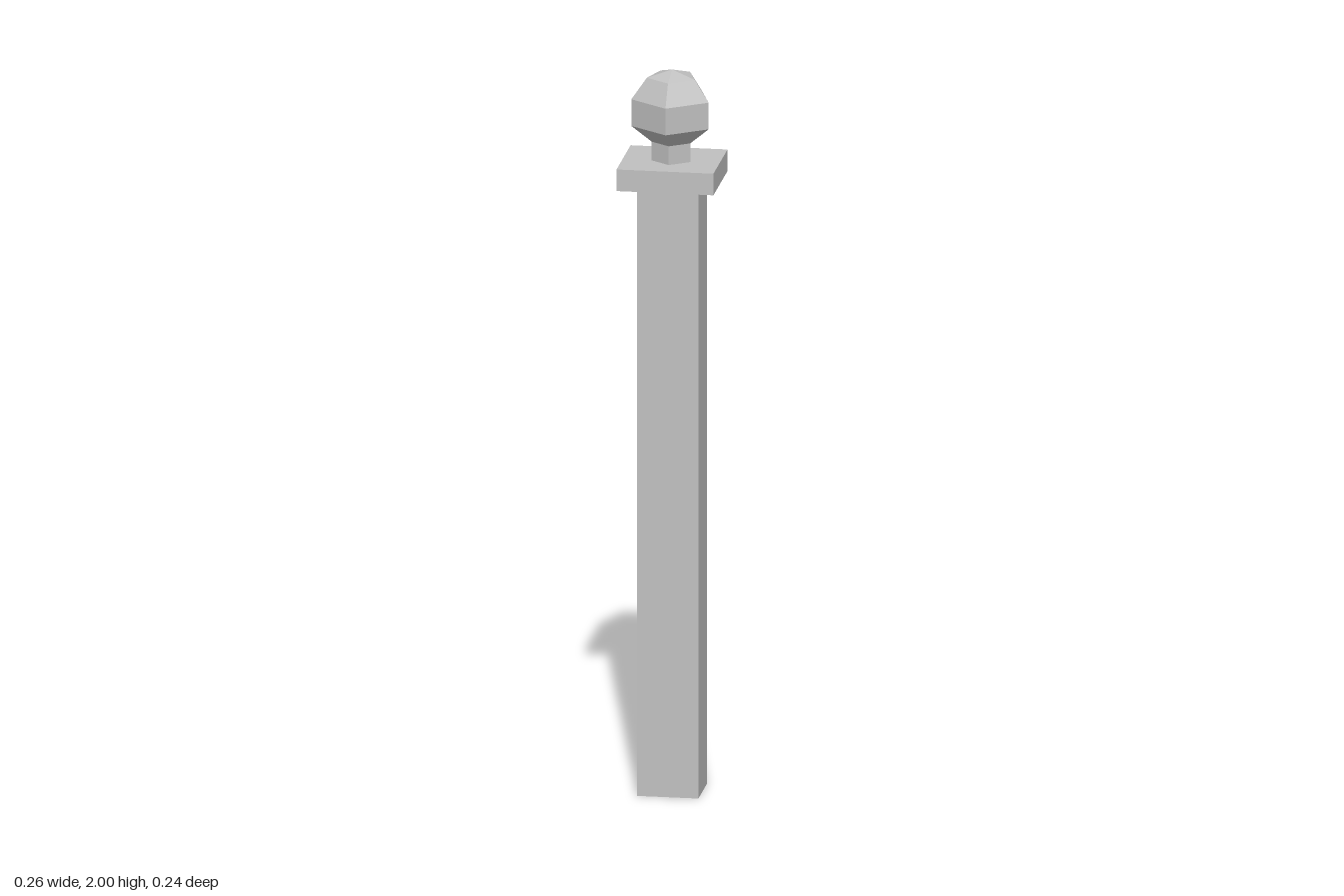
import * as THREE from 'three';

export function createModel() {
  const group = new THREE.Group();
  const stone = new THREE.MeshStandardMaterial({ color: 0xc0c0c0, flatShading: true, side: THREE.DoubleSide });
  stone.name = 'light grey';

  const add = (name, geometry, y) => {
    const mesh = new THREE.Mesh(geometry, stone);
    mesh.name = name;
    mesh.position.y = y;
    group.add(mesh);
  };

  // Hollow rectangular shaft, open at the bottom
  const shaft = new THREE.CylinderGeometry(Math.SQRT1_2, Math.SQRT1_2, 1.69, 4, 1, true);
  shaft.rotateY(Math.PI / 4).scale(0.166, 1, 0.146);
  add('shaft', shaft, 0.845);

  // Flat cap slab
  add('cap', new THREE.BoxGeometry(0.262, 0.06, 0.238), 1.72);

  // Five-sided neck and ball, one corner facing the front
  const profile = [
    [0.055, 0], [0.055, 0.052], [0.11, 0.098], [0.11, 0.172], [0.068, 0.23], [0, 0.25],
  ].map(([r, y]) => new THREE.Vector2(r, y));
  add('finial', new THREE.LatheGeometry(profile, 5), 1.75);

  return group;
}
